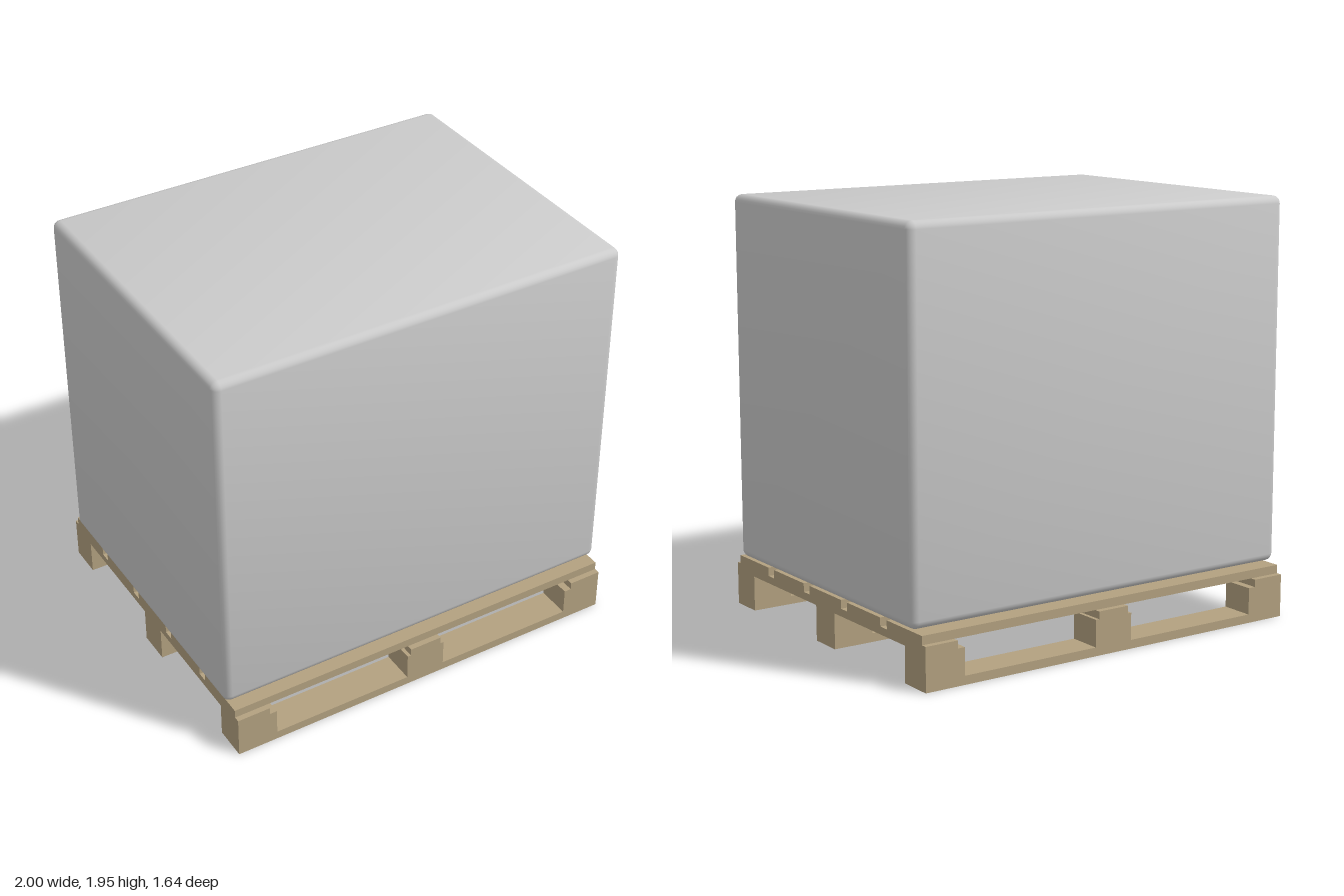
import * as THREE from 'three';
import { RoundedBoxGeometry } from 'three/addons/geometries/RoundedBoxGeometry.js';

const wood = new THREE.MeshStandardMaterial({ color: 0xb3a180 });
const grey = new THREE.MeshStandardMaterial({ color: 0xcccccc });

// Adds a wooden box; y0 and y1 are its bottom and top
function plank(parent, name, width, depth, y0, y1, x, z) {
  const mesh = new THREE.Mesh(new THREE.BoxGeometry(width, y1 - y0, depth), wood);
  mesh.position.set(x, (y0 + y1) / 2, z);
  mesh.name = name;
  parent.add(mesh);
}

// Wrapped load with softened edges and slightly pillowed shading
function createLoad() {
  const half = new THREE.Vector3(1, 0.85, 0.75);
  const geometry = new RoundedBoxGeometry(2, 1.7, 1.5, 3, 0.035);
  const { position, normal } = geometry.attributes;
  const p = new THREE.Vector3();
  const n = new THREE.Vector3();
  for (let i = 0; i < position.count; i++) {
    p.fromBufferAttribute(position, i).divide(half);
    n.fromBufferAttribute(normal, i).addScaledVector(p, 0.15).normalize();
    normal.setXYZ(i, n.x, n.y, n.z);
  }
  const load = new THREE.Mesh(geometry, grey);
  load.position.y = 1.1;
  load.name = 'load';
  return load;
}

function createPallet() {
  const pallet = new THREE.Group();
  pallet.name = 'pallet';

  // Five deck boards running left to right
  for (let i = -2; i <= 2; i++) plank(pallet, 'deckBoard', 1.96, 0.275, 0.2, 0.24, 0, i * 0.3275);

  for (const side of [-1, 0, 1]) {
    // Cross boards running front to back under the deck
    plank(pallet, 'crossBoard', 0.16, 1.64, 0.165, 0.2, side * 0.9, 0);
    // Bottom runners
    plank(pallet, 'runner', 1.96, 0.16, 0, 0.04, 0, side * 0.74);
    // Spacer blocks between runners and cross boards
    for (const row of [-1, 0, 1]) {
      plank(pallet, 'block', 0.195, 0.16, 0.04, 0.165, side * 0.8825, row * 0.74);
    }
  }
  return pallet;
}

export function createModel() {
  const model = new THREE.Group();
  model.name = 'loadedPallet';
  model.add(createPallet(), createLoad());
  return model;
}
